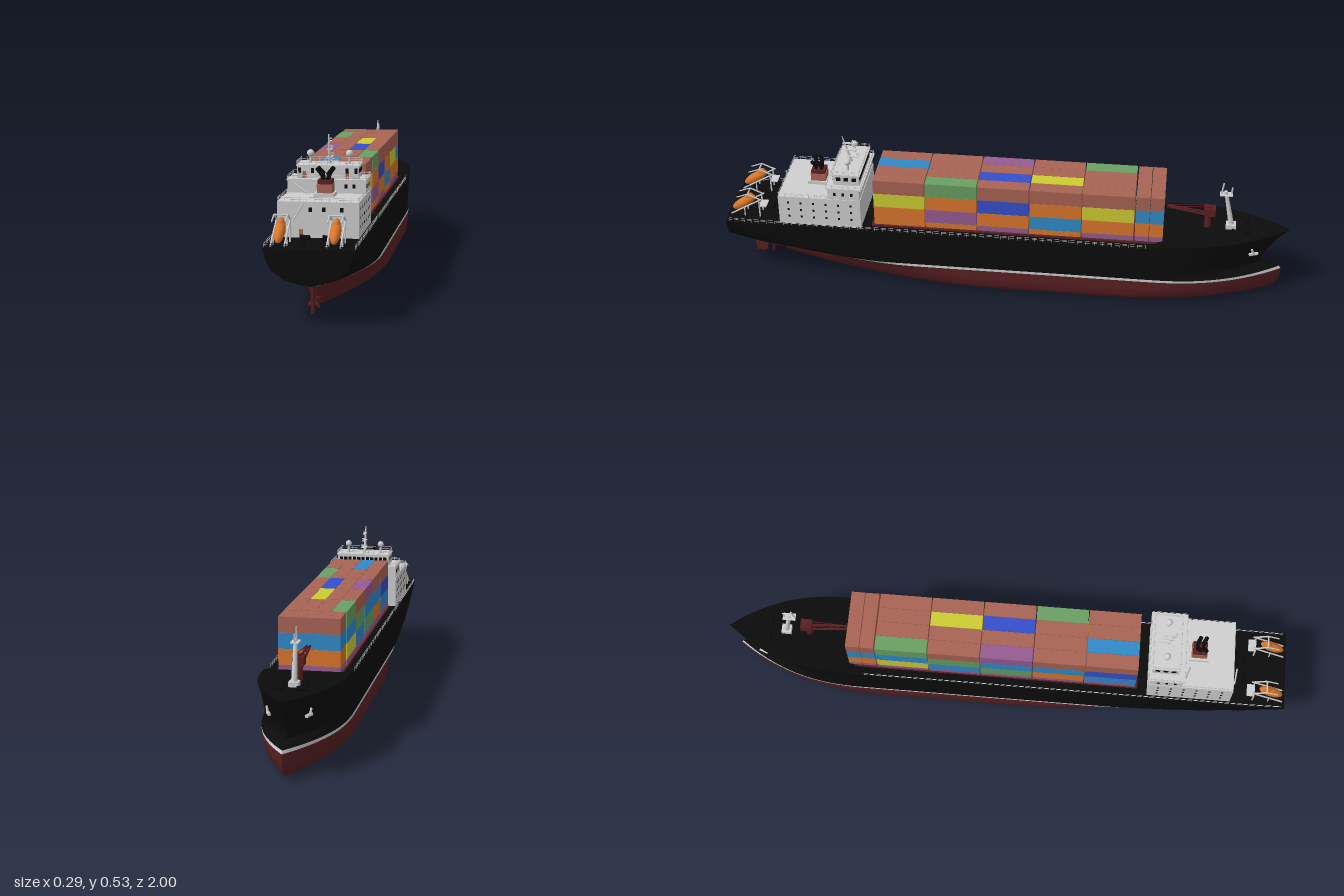
import * as THREE from 'three';
import { toCreasedNormals } from 'three/addons/utils/BufferGeometryUtils.js';

const mat = (name, color) => new THREE.MeshStandardMaterial({ name, color, side: THREE.DoubleSide });

export function createModel() {
  const ship = new THREE.Group();
  ship.name = 'containerShip';
  const M = {
    black: mat('hullBlack', 0x0b0b0b), red: mat('antifoulingRed', 0x5a2023), white: mat('paintWhite', 0xcfcfcf),
    r: mat('rustBrown', 0xa86354), o: mat('orange', 0xd9762b), y: mat('yellow', 0xcccc33), g: mat('green', 0x6a9f62),
    p: mat('purple', 0x965c92), d: mat('darkBlue', 0x354fcc), l: mat('lightBlue', 0x318bc8),
  };
  const add = (name, geo, m, x = 0, y = 0, z = 0, parent = ship) => {
    const mesh = new THREE.Mesh(geo, m);
    mesh.name = name;
    mesh.position.set(x, y, z);
    parent.add(mesh);
    return mesh;
  };
  // Box given by its x, y and z ranges
  const box = (name, m, x0, x1, y0, y1, z0, z1) =>
    add(name, new THREE.BoxGeometry(x1 - x0, y1 - y0, z1 - z0), m, (x0 + x1) / 2, (y0 + y1) / 2, (z0 + z1) / 2);
  // Round bar between two points
  const beam = (name, m, a, b, r, r2 = r, sides = 6) => {
    const A = new THREE.Vector3(...a), B = new THREE.Vector3(...b), dir = B.clone().sub(A);
    const mesh = add(name, new THREE.CylinderGeometry(r2, r, dir.length(), sides), m);
    mesh.position.copy(A).add(B).multiplyScalar(0.5);
    mesh.quaternion.setFromUnitVectors(new THREE.Vector3(0, 1, 0), dir.normalize());
    return mesh;
  };
  // Railing along a path of points: posts and two rails
  const railing = (name, pts, h, step, m = M.white) => {
    for (let i = 0; i < pts.length - 1; i++) {
      const A = new THREE.Vector3(...pts[i]), B = new THREE.Vector3(...pts[i + 1]);
      const n = Math.max(1, Math.round(A.distanceTo(B) / step));
      for (let k = 0; k <= n; k++) {
        const p = A.clone().lerp(B, k / n);
        beam(name + 'Post', m, [p.x, p.y, p.z], [p.x, p.y + h, p.z], 0.0008, 0.0008, 4);
      }
      for (const f of [0.55, 1]) beam(name + 'Rail', m, [A.x, A.y + h * f, A.z], [B.x, B.y + h * f, B.z], 0.0007, 0.0007, 4);
    }
  };

  // Hull waterlines: height, stern z, transom half width, stern run, bow z, bow run, half beam
  const lines = [
    [0, 0.62, 0, 0.7, -0.88, 0.6, 0.112], [0.01, 0.74, 0, 0.75, -0.945, 0.6, 0.132],
    [0.03, 0.82, 0, 0.75, -0.97, 0.55, 0.143], [0.06, 0.85, 0, 0.7, -0.98, 0.5, 0.143],
    [0.09, 0.87, 0, 0.55, -0.982, 0.48, 0.143], [0.1, 0.89, 0.02, 0.5, -0.975, 0.46, 0.143],
    [0.118, 1, 0.01, 0.45, -0.91, 0.42, 0.143], [0.135, 1, 0.075, 0.35, -0.905, 0.42, 0.143],
    [0.165, 1, 0.115, 0.25, -0.925, 0.42, 0.143], [0.2, 1, 0.132, 0.15, -0.957, 0.42, 0.143],
    [0.23, 1, 0.14, 0.1, -1, 0.42, 0.143],
  ];
  const sheer = z => 0.017 * THREE.MathUtils.smoothstep(-z, 0.5, 0.6) + 0.01 * THREE.MathUtils.clamp((-z - 0.6) / 0.4, 0, 1);
  const N = 64;
  const side = ([y, zs, b0, runS, zb, runB, B], sign) => Array.from({ length: N + 1 }, (_, i) => {
    const t = (1 - Math.cos(Math.PI * i / N)) / 2, z = zs + (zb - zs) * t;
    const aft = 1 - (1 - Math.min(1, (zs - z) / runS)) ** 2;
    const fore = 1 - (1 - Math.min(1, (z - zb) / runB)) ** 2.4;
    const x = Math.min(b0 + (B - b0) * aft, B * fore);
    return [sign * x, y + sheer(z) * Math.max(0, (y - 0.165) / 0.065), z];
  });
  const surface = (name, rows, closed, m) => {
    const n = rows[0].length, idx = [];
    for (let j = 0; j < rows.length - 1; j++)
      for (let i = 0; i < (closed ? n : n - 1); i++) {
        const a = j * n + i, b = j * n + (i + 1) % n;
        idx.push(a, b, b + n, a, b + n, a + n);
      }
    const geo = new THREE.BufferGeometry();
    geo.setAttribute('position', new THREE.Float32BufferAttribute(rows.flat(2), 3));
    geo.setIndex(idx);
    return add(name, toCreasedNormals(geo, 0.7), m);
  };
  const ring = l => [...side(l, 1), ...side(l, -1).reverse()];
  surface('underwaterHull', lines.slice(0, 5).map(ring), true, M.red);
  surface('waterlineStripe', lines.slice(4, 6).map(ring), true, M.white);
  surface('topsides', lines.slice(5).map(ring), true, M.black);
  surface('hullBottom', [side(lines[0], -1), side(lines[0], 1)], false, M.red);
  surface('deck', [side(lines[10], 1), side(lines[10], -1)], false, M.black);

  // Rudder and propeller
  const rudder = new THREE.Shape([[0.88, 0.1], [0.945, 0.115], [0.935, 0.02], [0.9, 0.02]].map(p => new THREE.Vector2(...p)));
  add('rudder', new THREE.ExtrudeGeometry(rudder, { depth: 0.008, bevelEnabled: false }).rotateY(-Math.PI / 2), M.red, 0.004);
  beam('propellerHub', M.red, [0, 0.048, 0.82], [0, 0.048, 0.882], 0.007, 0.004, 12);
  for (let i = 0; i < 4; i++) {
    const a = i * Math.PI / 2 + 0.5;
    const blade = add('propellerBlade', new THREE.SphereGeometry(1, 10, 6).scale(0.008, 0.013, 0.002).rotateY(0.5).translate(0, 0.014, 0), M.red, 0, 0.048, 0.872);
    blade.rotation.z = a;
  }

  // Hatch coaming under the cargo
  box('hatchCoaming', M.red, -0.11, 0.11, 0.22, 0.236, -0.585, 0.475);
  // Containers per bay: top row from -x to +x, lower tiers on the -x side and on the +x side
  const bays = [['rlrr', 'dlp', 'yoo'], ['rrrg', 'lop', 'opo'], ['prdr', 'lgp', 'dop'], ['rryr', 'glp', 'olo'], ['grrr', 'lyp', 'yop']];
  const tierTop = t => 0.416 - t * 0.0535;
  bays.forEach(([top, right, left], b) => {
    const z1 = 0.466 - b * 0.1845;
    for (let c = 0; c < 4; c++) for (let t = 0; t < 4; t++) {
      const key = t === 0 ? top[c] : c === 0 ? right[t - 1] : c === 3 ? left[t - 1] : 'r';
      const x = -0.106 + c * 0.0525;
      box('container', M[key], x, x + 0.0515, tierTop(t) - 0.053, tierTop(t), z1 - 0.181, z1);
    }
  });
  // Crosswise containers at the forward end
  for (let k = 0; k < 2; k++) ['r', 'l', 'o', 'p'].forEach((key, t) =>
    box('crossContainer', M[key], -0.104, 0.102, tierTop(t) - 0.053, tierTop(t), -0.506 - k * 0.05, -0.458 - k * 0.05));

  // Deckhouse and bridge
  box('lowerHouse', M.white, -0.13, 0.126, 0.225, 0.342, 0.51, 0.805);
  box('upperHouse', M.white, -0.128, 0.124, 0.342, 0.384, 0.512, 0.625);
  box('bridgeDeck', M.white, -0.13, 0.126, 0.382, 0.387, 0.503, 0.632);
  box('bridge', M.white, -0.1, 0.098, 0.385, 0.427, 0.515, 0.608);
  box('bridgeRoof', M.white, -0.103, 0.101, 0.426, 0.43, 0.511, 0.612);
  const loop = (x0, x1, y, z0, z1) => [[x0, y, z0], [x1, y, z0], [x1, y, z1], [x0, y, z1], [x0, y, z0]];
  railing('bridgeRail', loop(-0.128, 0.124, 0.386, 0.506, 0.63), 0.013, 0.02);
  railing('roofRail', loop(-0.1, 0.098, 0.43, 0.514, 0.609), 0.014, 0.02);
  railing('houseRail', [[0.124, 0.342, 0.63], [0.124, 0.342, 0.803], [-0.128, 0.342, 0.803], [-0.128, 0.342, 0.63]], 0.013, 0.022);

  // Windows and doors as thin plates
  const zPlate = (name, m, x, y, z, w, h) => box(name, m, x - w / 2, x + w / 2, y - h / 2, y + h / 2, z - 0.001, z + 0.001);
  for (const x of [-0.026, 0.016, 0.072]) zPlate('aftWindow', M.black, x, 0.318, 0.806, 0.011, 0.014);
  for (const x of [0.06, 0.086]) zPlate('upperAftWindow', M.black, x, 0.365, 0.626, 0.009, 0.012);
  for (const x of [-0.091, -0.05, 0.062, 0.09]) zPlate('bridgeAftWindow', M.black, x, 0.412, 0.609, 0.009, 0.016);
  for (const x of [-0.076, 0.062]) zPlate('bridgeDoor', M.r, x, 0.396, 0.609, 0.012, 0.026);
  for (const x of [-0.055, 0.045]) zPlate('aftDoor', M.r, x, 0.243, 0.806, 0.013, 0.026);
  for (let i = 0; i < 11; i++) zPlate('bridgeFrontWindow', M.black, -0.086 + i * 0.017, 0.411, 0.514, 0.012, 0.014);
  for (const [x, s] of [[-0.13, -1], [0.126, 1]]) {
    for (const y of [0.262, 0.29, 0.318]) for (let i = 0; i < 6; i++)
      box('sideWindow', M.black, x - 0.001, x + 0.001, y - 0.004, y + 0.004, 0.54 + i * 0.045, 0.547 + i * 0.045);
    for (let i = 0; i < 3; i++) {
      box('upperSideWindow', M.black, x - s * 0.003, x - s * 0.001, 0.358, 0.37, 0.535 + i * 0.03, 0.544 + i * 0.03);
      const bx = s > 0 ? 0.098 : -0.1;
      box('bridgeSideWindow', M.black, bx - 0.001, bx + 0.001, 0.404, 0.418, 0.525 + i * 0.028, 0.541 + i * 0.028);
    }
  }
  // Stairs on the aft face
  beam('stairs', M.white, [-0.11, 0.376, 0.632], [-0.055, 0.342, 0.65], 0.003);
  beam('aftStairs', M.white, [-0.045, 0.34, 0.815], [-0.08, 0.28, 0.815], 0.003);

  // Funnel with exhaust pipes
  box('funnelBase', M.white, -0.03, 0.034, 0.342, 0.354, 0.645, 0.715);
  box('funnel', M.r, -0.021, 0.028, 0.354, 0.382, 0.652, 0.705);
  box('funnelTop', M.red, -0.019, 0.026, 0.382, 0.395, 0.654, 0.703);
  for (const s of [-1, 1]) for (const z of [0.668, 0.688]) {
    beam('exhaustPipe', M.black, [0.004 + s * 0.006, 0.39, z], [0.004 + s * 0.012, 0.415, z], 0.006, 0.006, 10);
    beam('exhaustOutlet', M.black, [0.004 + s * 0.009, 0.411, z], [0.004 + s * 0.025, 0.432, z + 0.008], 0.008, 0.007, 10);
  }

  // Radar mast and domes
  beam('radarMast', M.white, [0, 0.428, 0.56], [0, 0.527, 0.588], 0.006, 0.002, 8);
  for (const [y, w] of [[0.45, 0.02], [0.475, 0.015], [0.5, 0.009]]) {
    const z = 0.56 + (y - 0.428) * 0.28;
    box('mastPlatform', M.white, -w / 2, w / 2, y, y + 0.003, z - 0.035, z + 0.008);
    box('radarScanner', M.white, -w / 2, w / 2, y + 0.008, y + 0.012, z - 0.03, z - 0.026);
  }
  for (const x of [-0.063, 0.063]) {
    beam('domePost', M.white, [x, 0.428, 0.56], [x, 0.455, 0.56], 0.004, 0.004, 8);
    add('radarDome', new THREE.SphereGeometry(0.012, 16, 12), M.white, x, 0.462, 0.56);
  }

  // Stern lifeboats on sloping cradles
  for (const x of [-0.096, 0.073]) {
    const boat = add('lifeboat', new THREE.SphereGeometry(1, 16, 12).scale(0.017, 0.018, 0.052), M.o, x, 0.274, 0.945);
    boat.rotation.x = 0.58;
    const cabin = add('lifeboatCabin', new THREE.SphereGeometry(1, 12, 8).scale(0.011, 0.014, 0.02), M.o, x, 0.297, 0.925);
    cabin.rotation.x = 0.58;
    for (const s of [-1, 1]) {
      const X = x + s * 0.021;
      beam('cradleRail', M.white, [X, 0.302, 0.875], [X, 0.235, 0.99], 0.003);
      beam('cradleLeg', M.white, [X, 0.228, 0.885], [X, 0.305, 0.885], 0.003);
      beam('cradleBrace', M.white, [X, 0.228, 0.94], [X, 0.265, 0.94], 0.0025);
      beam('davitArm', M.white, [X, 0.3, 0.88], [X, 0.32, 0.925], 0.003);
      beam('davitTip', M.white, [X, 0.32, 0.925], [X, 0.305, 0.965], 0.0025);
    }
    beam('davitCrossbar', M.white, [x - 0.021, 0.32, 0.925], [x + 0.021, 0.32, 0.925], 0.003);
    box('cradlePlatform', M.white, x - 0.022, x + 0.022, 0.27, 0.274, 0.86, 0.888);
  }
  // Mooring gear on the stern and forecastle
  for (const [z, y] of [[0.85, 0.23], [-0.85, 0.252]]) for (const x of [-0.035, 0.035]) {
    beam('winchDrum', M.black, [x - 0.015, y + 0.009, z], [x + 0.015, y + 0.009, z], 0.008, 0.008, 10);
    for (const k of [-1, 1]) beam('bollard', M.black, [x + k * 0.006, y - 0.003, z + 0.05], [x + k * 0.006, y + 0.01, z + 0.05], 0.004, 0.004, 8);
  }

  // Foremast
  box('foremastBase', M.white, -0.016, 0.016, 0.245, 0.268, -0.81, -0.775);
  beam('foremast', M.white, [0, 0.255, -0.795], [0, 0.4, -0.765], 0.01, 0.006, 10);
  box('foremastPlatform', M.white, -0.013, 0.013, 0.385, 0.389, -0.79, -0.745);
  beam('foremastFork', M.white, [0, 0.387, -0.75], [0, 0.432, -0.757], 0.003);
  beam('foremastFork', M.white, [0, 0.387, -0.785], [0, 0.415, -0.787], 0.003);

  // Deck crane
  beam('cranePost', M.red, [0, 0.245, -0.71], [0, 0.335, -0.71], 0.012, 0.01, 10);
  box('craneCab', M.red, -0.018, 0.018, 0.3, 0.33, -0.735, -0.695);
  for (const x of [-0.009, 0.009]) {
    beam('craneJib', M.red, [x, 0.3, -0.72], [x * 0.6, 0.325, -0.565], 0.004);
    beam('craneStay', M.red, [x, 0.335, -0.71], [x * 0.6, 0.327, -0.57], 0.0015);
  }
  for (let i = 0; i < 5; i++) box('jibCrosspiece', M.red, -0.009, 0.009, 0.3 + i * 0.005, 0.306 + i * 0.005, -0.69 + i * 0.028, -0.686 + i * 0.028);

  // Anchors, side railings
  for (const s of [-1, 1]) {
    beam('anchorShank', M.white, [s * 0.07, 0.208, -0.87], [s * 0.066, 0.185, -0.878], 0.004);
    beam('anchorFlukes', M.white, [s * 0.069, 0.186, -0.862], [s * 0.058, 0.186, -0.892], 0.006);
    railing('sideRail', [[s * 0.14, 0.23, -0.5], [s * 0.14, 0.23, 0.88], [s * 0.138, 0.23, 0.985]], 0.014, 0.03);
  }
  railing('sternRail', [[-0.138, 0.23, 0.995], [0.138, 0.23, 0.995]], 0.014, 0.03, M.black);
  return ship;
}
